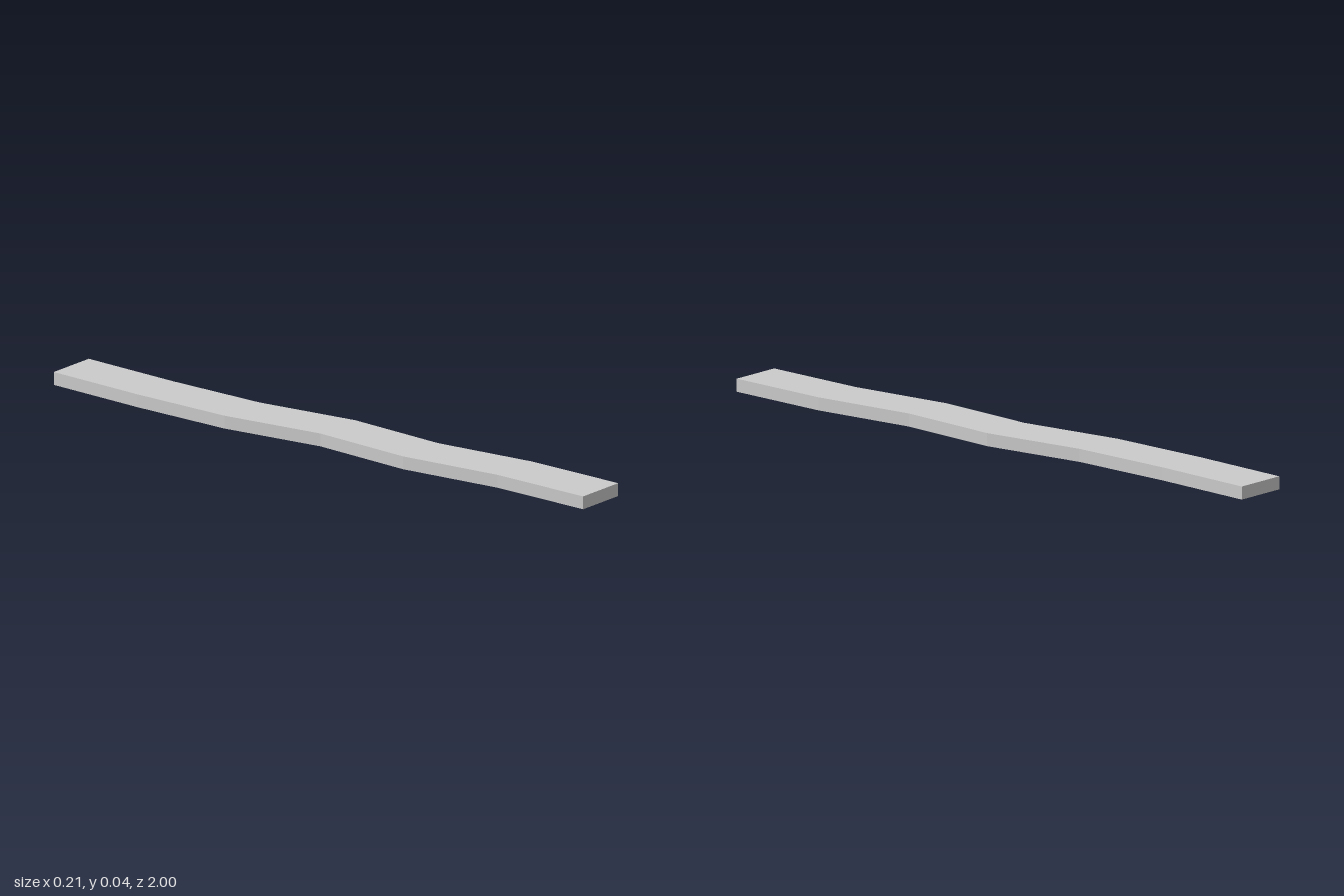
import * as THREE from 'three';

// Wavy flat plank: centre line sways in x at evenly spaced stations along z
const WIDTH = 0.168, HEIGHT = 0.04, LENGTH = 2;
const SWAY = [0.008, -0.013, -0.02, 0.017, -0.01, 0.019, 0.008]; // back to front

export function createModel() {
  const group = new THREE.Group();
  const segments = SWAY.length - 1;
  const geometry = new THREE.BoxGeometry(WIDTH, HEIGHT, LENGTH, 1, 1, segments);
  geometry.translate(0, HEIGHT / 2, 0);

  // Shift every cross-section sideways
  const pos = geometry.attributes.position;
  for (let i = 0; i < pos.count; i++) {
    const station = Math.round((pos.getZ(i) / LENGTH + 0.5) * segments);
    pos.setX(i, pos.getX(i) + SWAY[station]);
  }
  geometry.computeVertexNormals();

  const plank = new THREE.Mesh(
    geometry,
    new THREE.MeshStandardMaterial({ color: 0xcccccc, flatShading: true })
  );
  plank.name = 'plank';
  group.add(plank);
  return group;
}
